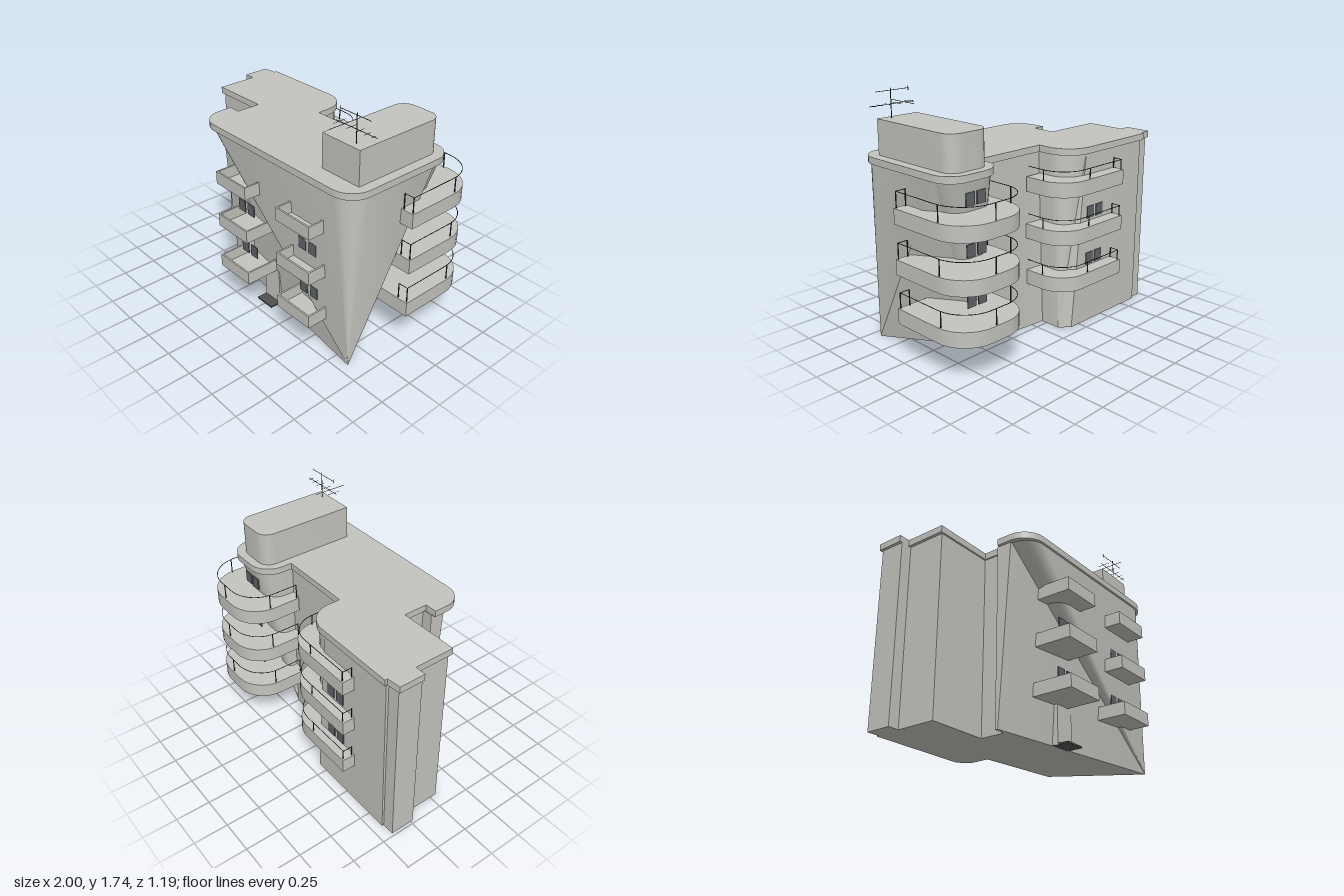
import * as THREE from 'three';
import { mergeGeometries, toCreasedNormals } from 'three/addons/utils/BufferGeometryUtils.js';

const mat = (name, color) => Object.assign(new THREE.MeshStandardMaterial({ color }), { name });

// Rounds the corners of a path of [x, z, radius]; each result keeps its corner index
function rounded(pts, closed = true, seg = 8) {
  const out = [];
  pts.forEach(([x, z, r = 0], i) => {
    const p = new THREE.Vector2(x, z);
    if (!r || (!closed && (i === 0 || i === pts.length - 1))) return out.push({ p, i });
    const dir = (j) => {
      const q = pts[(j + pts.length) % pts.length];
      return new THREE.Vector2(q[0], q[1]).sub(p).normalize();
    };
    const u = dir(i - 1), v = dir(i + 1);
    const c = p.clone().addScaledVector(u, r).addScaledVector(v, r);
    for (let k = 0; k <= seg; k++) {
      const t = (k / seg) * Math.PI / 2;
      out.push({ p: c.clone().addScaledVector(v, -r * Math.cos(t)).addScaledVector(u, -r * Math.sin(t)), i });
    }
  });
  return out;
}

// Flat slab with the given plan between two heights
function slab(pts, y0, y1) {
  const shape = new THREE.Shape(rounded(pts).map(({ p }) => new THREE.Vector2(p.x, -p.y)));
  const g = new THREE.ExtrudeGeometry(shape, { depth: y1 - y0, bevelEnabled: false });
  return toCreasedNormals(g.rotateX(-Math.PI / 2).translate(0, y0, 0), 0.5);
}

function box(x0, x1, y0, y1, z0, z1) {
  return new THREE.BoxGeometry(x1 - x0, y1 - y0, z1 - z0)
    .translate((x0 + x1) / 2, (y0 + y1) / 2, (z0 + z1) / 2);
}

// Thin round bar between two points
function rod(a, b, r) {
  const A = new THREE.Vector3(...a), d = new THREE.Vector3(...b).sub(A);
  const q = new THREE.Quaternion().setFromUnitVectors(new THREE.Vector3(0, 1, 0), d.clone().normalize());
  return new THREE.CylinderGeometry(r, r, d.length(), 6).applyQuaternion(q)
    .translate(A.x + d.x / 2, A.y + d.y / 2, A.z + d.z / 2);
}

// Leaning walls: rounded plan at the top, sharp plan at the ground
function bodyGeometry() {
  // top x, top z, top radius, ground x, ground z
  const plan = [
    [-0.98, -0.41, 0, -0.98, -0.41], [-0.89, -0.41, 0, -0.89, -0.41], [-0.89, -0.43, 0, -0.89, -0.425],
    [-0.28, -0.43, 0, -0.17, -0.425], [-0.1, -0.43, 0.18, -0.1, -0.36], [-0.1, -0.155, 0, -0.1, -0.21],
    [0.485, -0.155, 0, 0.505, -0.15], [0.485, -0.385, 0.15, 0.505, -0.15], [0.908, -0.385, 0.14, 0.505, -0.15],
    [0.908, 0.485, 0.15, 0.872, 0.43], [-0.55, 0.485, 0.15, 0.872, 0.43], [-0.55, 0.335, 0, -0.55, 0.245],
    [-0.55, 0.225, 0, -0.55, 0.225], [-0.47, 0.225, 0, -0.47, 0.225], [-0.47, 0.05, 0, -0.47, 0.05],
    [-0.9, 0.05, 0, -0.9, 0.05], [-0.9, -0.23, 0, -0.9, -0.23], [-0.98, -0.23, 0, -0.98, -0.23],
  ];
  const H = 1.27, pos = [];
  const tri = (a, b, c) => {
    const n = b.clone().sub(a).cross(c.clone().sub(a));
    if (n.length() > 1e-7) [a, b, c].forEach((v) => pos.push(v.x, v.y, v.z));
  };
  const ring = rounded(plan).map(({ p, i }) => ({
    t: new THREE.Vector3(p.x, H, p.y),
    b: new THREE.Vector3(plan[i][3], 0, plan[i][4]),
  }));
  ring.forEach((p, k) => {
    const q = ring[(k + 1) % ring.length];
    tri(p.b, p.t, q.b);
    tri(q.b, p.t, q.t);
  });
  // underside
  const base = ring.map((r) => r.b).filter((b, k, a) => b.distanceTo(a[(k + 1) % a.length]) > 1e-4);
  const flat = base.map((b) => new THREE.Vector2(b.x, b.z));
  THREE.ShapeUtils.triangulateShape(flat, []).forEach((f) => {
    let [a, b, c] = f.map((n) => base[n]);
    if (b.clone().sub(a).cross(c.clone().sub(a)).y > 0) [b, c] = [c, b];
    tri(a, b, c);
  });
  const g = new THREE.BufferGeometry();
  g.setAttribute('position', new THREE.Float32BufferAttribute(pos, 3));
  return toCreasedNormals(g, 0.35);
}

export function createModel() {
  const model = new THREE.Group();
  model.name = 'apartmentBlock';
  const concrete = mat('concrete', 0xc3c4be);
  const glass = mat('darkGlass', 0x5e6367);
  const metal = mat('darkMetal', 0x2e3032);
  const stone = mat('darkStone', 0x505153);
  const add = (name, geo, material = concrete) => {
    const m = new THREE.Mesh(geo, material);
    m.name = name;
    model.add(m);
  };

  add('walls', bodyGeometry());

  // Roof slab with rounded corners
  add('roofSlab', slab([
    [-1, -0.42], [-0.9, -0.43], [-0.9, -0.45], [-0.09, -0.45, 0.19], [-0.09, -0.17], [0.475, -0.17],
    [0.475, -0.405, 0.16], [0.925, -0.405, 0.15], [0.925, 0.5, 0.16], [-0.57, 0.5, 0.16], [-0.57, 0.24],
    [-0.48, 0.24], [-0.48, 0.06], [-0.92, 0.065], [-0.92, -0.23], [-1, -0.23],
  ], 1.26, 1.307));
  add('roofHouse', slab([[0.535, -0.345, 0.09], [0.855, -0.345, 0.09], [0.855, 0.367], [0.535, 0.367]], 1.3, 1.546));

  // Aerial on the roof house
  const bars = [rod([0.775, 1.54, 0.32], [0.775, 1.74, 0.32], 0.003),
    rod([0.63, 1.725, 0.32], [0.89, 1.725, 0.32], 0.002),
    rod([0.6, 1.637, 0.32], [0.94, 1.637, 0.32], 0.002),
    rod([0.68, 1.64, 0.2], [0.68, 1.64, 0.45], 0.002),
    rod([0.635, 1.71, 0.32], [0.635, 1.74, 0.32], 0.002)];
  [0.63, 0.73, 0.8, 0.86, 0.91].forEach((x, k) =>
    bars.push(rod([x, 1.637, 0.27 + k * 0.008], [x, 1.637, 0.37 - k * 0.008], 0.0015)));
  add('aerial', mergeGeometries(bars), metal);

  // Curved balconies with railings
  function curvedBalcony(name, plan, railPath, posts, y0, y1, railTop) {
    add(name, slab(plan, y0, y1));
    const path = rounded(railPath, false).map(({ p }) => new THREE.Vector3(p.x, railTop, p.y));
    const curve = new THREE.CurvePath();
    path.slice(1).forEach((p, k) => curve.add(new THREE.LineCurve3(path[k], p)));
    const parts = path.slice(1).map((p, k) => rod(path[k].toArray(), p.toArray(), 0.0025));
    posts.forEach((t) => {
      const p = curve.getPointAt(t);
      parts.push(rod([p.x, y1 - 0.01, p.z], [p.x, railTop, p.z], 0.004));
    });
    add(name + 'Railing', mergeGeometries(parts), metal);
  }
  [0, 0.337, 0.675].forEach((dy) => {
    curvedBalcony('towerBalcony',
      [[0.4, -0.17], [0.4, -0.592, 0.22], [1, -0.592, 0.24], [1, 0.037], [0.7, 0.037], [0.56, -0.1], [0.48, -0.14]],
      [[0.412, -0.18], [0.412, -0.58, 0.21], [0.988, -0.58, 0.23], [0.988, 0.025], [0.915, 0.025]],
      [0, 0.15, 0.42, 0.68, 0.95, 1], 0.272 + dy, 0.378 + dy, 0.487 + dy);
    curvedBalcony('wingBalcony',
      [[-0.585, -0.4], [-0.585, -0.52], [0.035, -0.52, 0.2], [0.035, -0.17], [-0.14, -0.17], [-0.2, -0.4]],
      [[-0.573, -0.44], [-0.573, -0.508], [0.023, -0.508, 0.19], [0.023, -0.18]],
      [0, 0.08, 0.45, 0.85], 0.328 + dy, 0.433 + dy, 0.505 + dy);
  });

  // Open box balconies on the front
  for (const x of [-0.275, 0.355]) {
    for (const y of [0.272, 0.61, 0.945]) {
      const X = x + 0.315, top = y + 0.093, t = 0.012, back = 0.27, front = 0.594;
      add('frontBalcony', mergeGeometries([
        box(x, X, y, y + t, back, front),
        box(x, X, y + t, top, front - t, front),
        box(x, x + t, y + t, top, back, front - t),
        box(X - t, X, y + t, top, back, front - t),
      ]));
    }
  }

  // Upright window panes
  const pane = (name, x, y, z) =>
    add(name, box(x - 0.035, x + 0.035, y - 0.043, y + 0.043, z - 0.004, z + 0.004), glass);
  [[0.423, 0.449], [0.768, 0.463]].forEach(([y, z]) => {
    for (const x of [-0.17, -0.073, 0.46, 0.557]) pane('frontWindow', x, y, z);
    for (const x of [-0.34, -0.435]) pane('wingWindow', x, y + 0.065, -0.43);
  });
  for (const y of [0.475, 0.81, 1.14]) {
    for (const x of [0.64, 0.73]) pane('towerWindow', x, y, -0.37);
  }

  // Entrance door with softened top corners, and its doorstep
  const door = new THREE.Shape();
  door.moveTo(-0.08, 0).lineTo(0.075, 0).lineTo(0.075, 0.26);
  door.quadraticCurveTo(0.075, 0.28, 0.055, 0.28).lineTo(-0.06, 0.28);
  door.quadraticCurveTo(-0.08, 0.28, -0.08, 0.26).lineTo(-0.08, 0);
  add('door', new THREE.ExtrudeGeometry(door, { depth: 0.05, bevelEnabled: false }).translate(0, 0, 0.3));
  add('doorstep', box(-0.08, 0.075, 0, 0.012, 0.29, 0.428), stone);
  return model;
}
